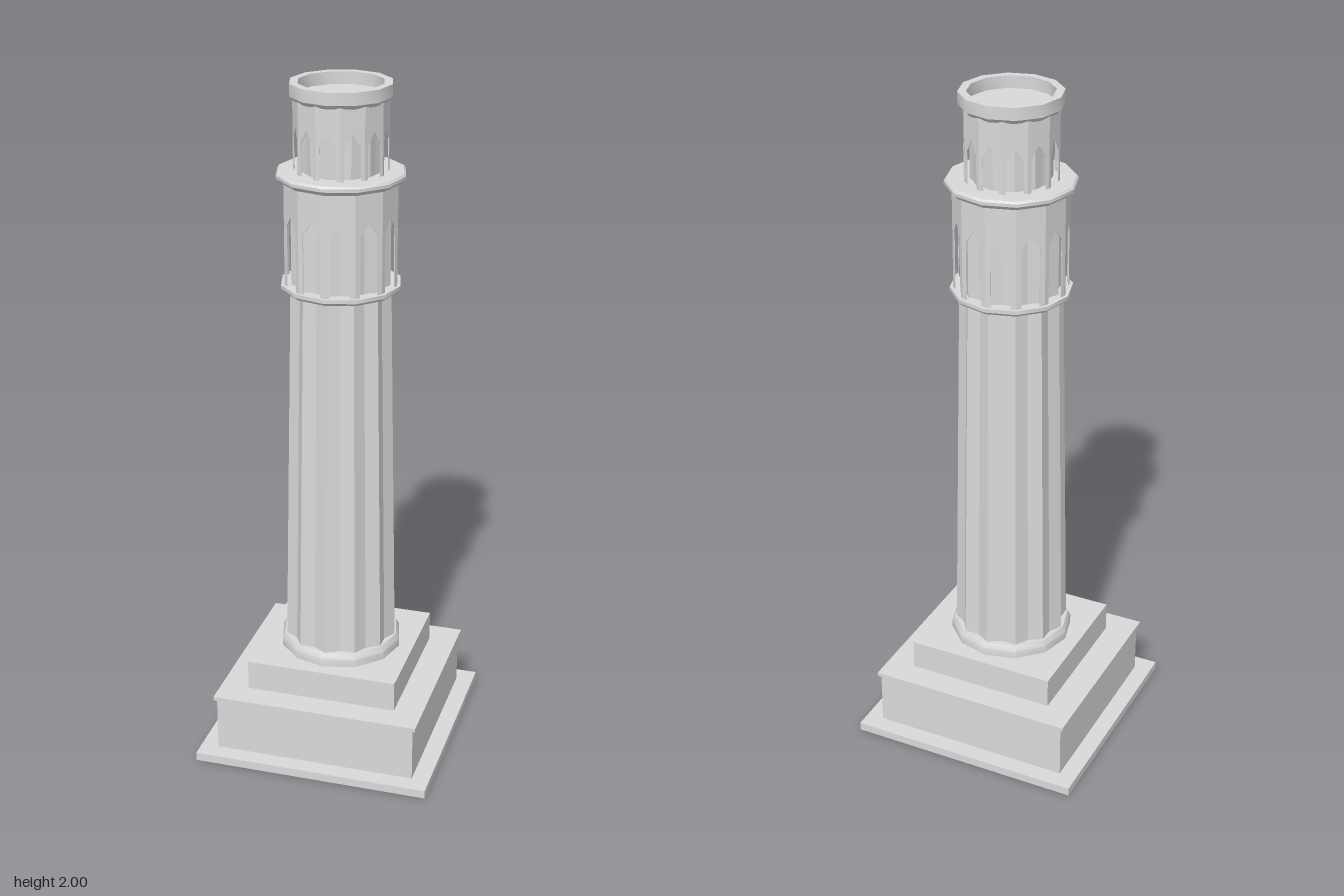
import * as THREE from 'three';
import { toCreasedNormals } from 'three/addons/utils/BufferGeometryUtils.js';

const SIDES = 12;
const stone = new THREE.MeshStandardMaterial({ color: 0xd9d9d9 });
stone.name = 'pale grey stone';

// Mesh whose edges stay sharp above the given crease angle
function stoneMesh(name, geometry, crease = 0.1) {
  const mesh = new THREE.Mesh(toCreasedNormals(geometry, crease), stone);
  mesh.name = name;
  return mesh;
}

function slab(name, halfX, halfZ, y0, y1) {
  const g = new THREE.BoxGeometry(halfX * 2, y1 - y0, halfZ * 2);
  g.translate(0, (y0 + y1) / 2, 0);
  return stoneMesh(name, g);
}

// Twelve-sided turned moulding, smooth around and sharp between its steps
function ring(name, profile) {
  const points = profile.map(([r, y]) => new THREE.Vector2(r, y));
  return stoneMesh(name, new THREE.LatheGeometry(points, SIDES), 0.54);
}

// Tapered column with a V-shaped flute on each of its twelve sides
function flutedColumn(name, rTop, rBottom, y0, y1, flute) {
  const g = new THREE.CylinderGeometry(rTop, rBottom, y1 - y0, SIDES * 2, 1, true);
  g.translate(0, (y0 + y1) / 2, 0);
  const p = g.attributes.position;
  for (let i = 0; i < p.count; i++) {
    const step = Math.round(Math.atan2(p.getX(i), p.getZ(i)) / (Math.PI / SIDES));
    if (Math.abs(step) % 2 === 1) p.setXYZ(i, p.getX(i) * flute, p.getY(i), p.getZ(i) * flute);
  }
  return stoneMesh(name, g);
}

// Ring of thin wall panels, each cut by a pointed arch open at the floor
function arcade(name, radius, y0, y1, openWidth, spring, apex, offset) {
  const group = new THREE.Group();
  group.name = name;
  const half = radius * Math.sin(Math.PI / SIDES);
  const apothem = radius * Math.cos(Math.PI / SIDES);
  const w = openWidth / 2;
  const depth = 0.002;
  const s = new THREE.Shape();
  s.moveTo(-half, y0);
  s.lineTo(-w, y0);
  s.lineTo(-w, spring);
  s.lineTo(0, apex);
  s.lineTo(w, spring);
  s.lineTo(w, y0);
  s.lineTo(half, y0);
  s.lineTo(half, y1);
  s.lineTo(-half, y1);
  s.closePath();
  const g = new THREE.ExtrudeGeometry(s, { depth, bevelEnabled: false });
  g.translate(0, 0, apothem - depth);
  for (let i = 0; i < SIDES; i++) {
    const panel = stoneMesh('archPanel', g);
    panel.rotation.y = offset + (i * Math.PI * 2) / SIDES;
    group.add(panel);
  }
  return group;
}

export function createModel() {
  const model = new THREE.Group();
  model.name = 'tower';

  // Stepped square base
  model.add(
    slab('groundPlate', 0.352, 0.343, 0, 0.025),
    slab('plinth', 0.3, 0.291, 0.025, 0.188),
    slab('plinthCap', 0.309, 0.297, 0.188, 0.2),
    slab('upperPlinth', 0.225, 0.219, 0.2, 0.29),
  );

  // Foot moulding and fluted shaft
  model.add(
    ring('shaftFoot', [[0, 0.29], [0.182, 0.29], [0.182, 0.314], [0.173, 0.33], [0, 0.33]]),
    flutedColumn('shaft', 0.146, 0.168, 0.33, 1.42, 0.9),
  );

  // Lower arcade around its core
  model.add(
    ring('lowerRing', [[0, 1.418], [0.164, 1.418], [0.172, 1.426], [0.172, 1.437], [0, 1.437]]),
    flutedColumn('lowerCore', 0.143, 0.143, 1.43, 1.74, 0.92),
    arcade('lowerArcade', 0.162, 1.43, 1.735, 0.054, 1.608, 1.645, Math.PI / SIDES),
    ring('gallery', [[0, 1.73], [0.17, 1.73], [0.183, 1.742], [0.183, 1.751], [0.178, 1.757], [0, 1.757]]),
  );

  // Upper arcade, turned half a side
  model.add(
    flutedColumn('upperCore', 0.113, 0.113, 1.755, 1.96, 0.95),
    arcade('upperArcade', 0.132, 1.757, 1.962, 0.047, 1.848, 1.885, 0),
  );

  // Crown with a sunken roof
  model.add(ring('crown', [[0, 1.953], [0.132, 1.953], [0.143, 1.965], [0.143, 2], [0.12, 2], [0.12, 1.965], [0, 1.965]]));

  return model;
}
